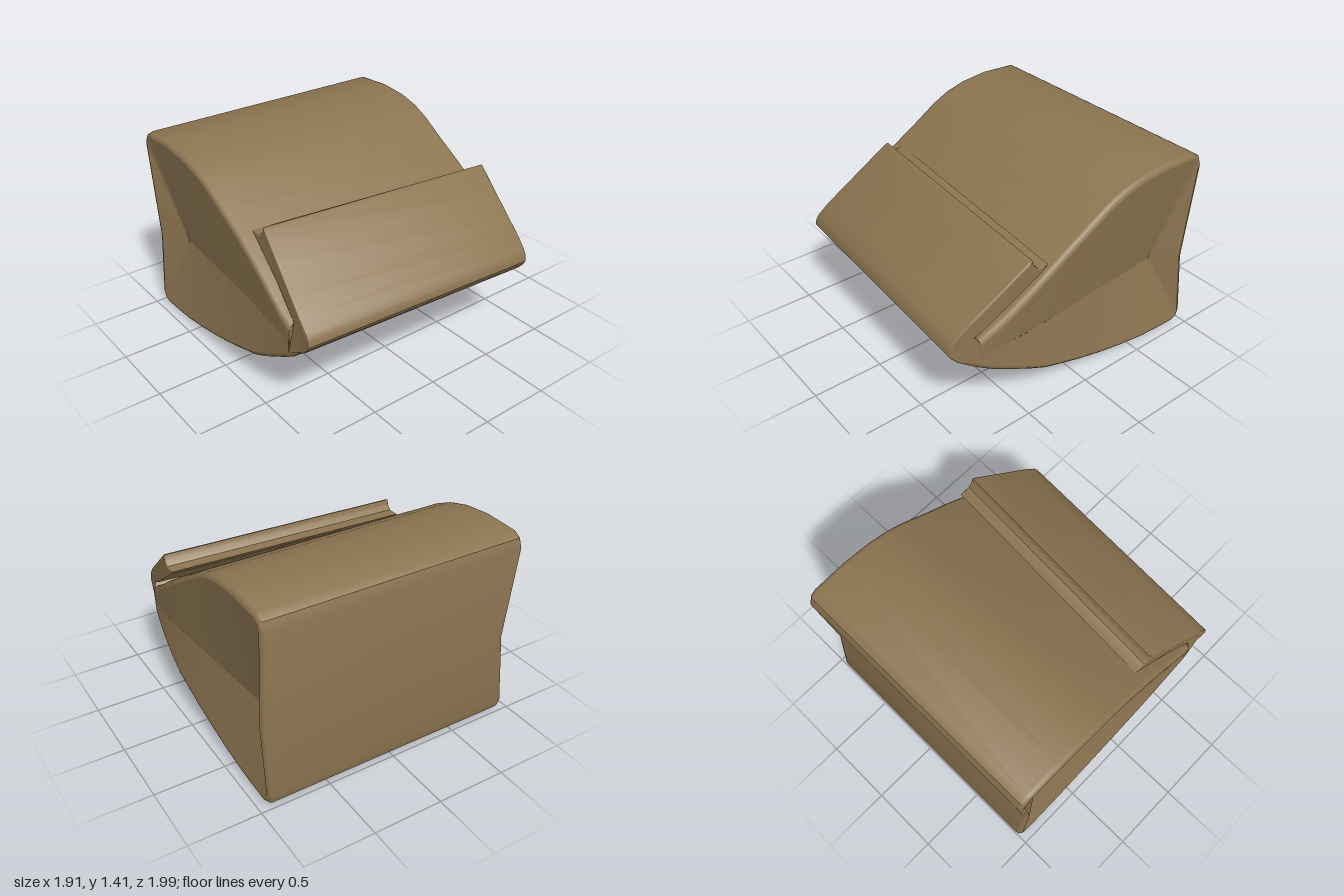
import * as THREE from 'three';
import { toCreasedNormals } from 'three/addons/utils/BufferGeometryUtils.js';

// Side outline as [z, y], counter-clockwise from the middle of the back panel
const lower = [[-0.94, 0.6], [-1, 0.1], [-0.98, 0.035], [-0.92, 0.005], [-0.75, 0.01], [-0.6, 0.02], [-0.4, 0.05],
  [-0.2, 0.09], [0, 0.14], [0.15, 0.185], [0.3, 0.23], [0.45, 0.295], [0.6, 0.365], [0.72, 0.42], [0.8, 0.465]];
const flap = [[0.88, 0.515], [0.94, 0.56], [0.98, 0.605], [1, 0.64], [0.995, 0.68], [0.97, 0.72], [0.9, 0.785],
  [0.8, 0.86], [0.62, 0.995], [0.455, 1.12], [0.43, 1.13], [0.42, 1.09], [0.39, 1.06], [0.345, 1.055],
  [0.31, 1.055], [0.335, 1.025], [0.6, 0.85], [0.78, 0.725], [0.82, 0.705]];
const upper = [[0.8, 0.685], [0.7, 0.74], [0.6, 0.805], [0.4, 0.94], [0.2, 1.07], [0, 1.19], [-0.17, 1.295],
  [-0.3, 1.355], [-0.45, 1.395], [-0.66, 1.417], [-0.92, 1.405], [-0.975, 1.37], [-1, 1.3]];
const profile = [...lower, ...flap, ...upper];
const N = profile.length, F0 = lower.length, F1 = F0 + flap.length;
const isFlap = (i) => i >= F0 && i < F1;

const { clamp, smoothstep } = THREE.MathUtils;

// Outward direction at each outline point
const normals = profile.map((p, i) => {
  const a = profile[(i + N - 1) % N], b = profile[(i + 1) % N];
  const dz = b[0] - a[0], dy = b[1] - a[1], l = Math.hypot(dz, dy);
  return [dy / l, -dz / l];
});

// Places an outline coordinate on the left (+1) or right (-1) end, with the skewed front and flap
function place(z, y, side, inFlap, dx) {
  const s = clamp((1 - z) / 0.57, 0, 1.2);
  let x;
  if (inFlap) x = side > 0 ? 0.825 + 0.095 * Math.min(s, 1) : -0.94 + 0.1 * Math.min(s, 1);
  else {
    const bulge = 0.012 * smoothstep(y, 0.6, 1.35) * smoothstep(-z, -0.1, 0.5);
    const taper = 0.11 * Math.max(0, (z - 0.2) / 0.8) ** 2;
    x = side > 0 ? 0.942 + bulge - taper : -0.942 - bulge;
  }
  x -= side * dx;
  const t = clamp((0.94 - x) / 1.86, 0, 1);
  const shift = inFlap ? 0.1 + 0.028 * s : 0.1 * smoothstep(z, 0.2, 1);
  return [x, y + (inFlap ? 0.027 * t * s : 0), z - shift * t];
}

// One ring of the rounded edge: "a" runs from 0 (full outline) to 1 (end face)
function ring(side, a) {
  return profile.map(([z, y], i) => {
    const r = isFlap(i) ? 0.01 : 0.035;
    const inset = r * (1 - Math.cos(a * Math.PI / 2)), dx = r * (1 - Math.sin(a * Math.PI / 2));
    return place(z - normals[i][0] * inset, y - normals[i][1] * inset, side, isFlap(i), dx);
  });
}

function geometry(tris, crease) {
  const g = new THREE.BufferGeometry();
  g.setAttribute('position', new THREE.Float32BufferAttribute(tris.flat(2), 3));
  return toCreasedNormals(g, crease);
}

export function createModel() {
  const group = new THREE.Group();
  const fabric = new THREE.MeshStandardMaterial({ color: 0x8b7450, side: THREE.DoubleSide });
  fabric.name = 'tan fabric';
  const add = (name, tris, crease) => {
    const mesh = new THREE.Mesh(geometry(tris, crease), fabric);
    mesh.name = name;
    group.add(mesh);
  };

  // Wrapped cover: bottom, rounded nose, folded-back flap, top and back in one loft
  const steps = [0, 0.35, 0.7, 1];
  const rings = [...steps.slice().reverse().map((a) => ring(-1, a)), ...steps.map((a) => ring(1, a))];
  const shell = [];
  for (let k = 0; k < rings.length - 1; k++) {
    for (let i = 0; i < N; i++) {
      const j = (i + 1) % N, A = rings[k], B = rings[k + 1];
      shell.push([A[i], B[i], A[j]], [B[i], B[j], A[j]]);
    }
  }
  add('wrappedCover', shell, 0.6);

  for (const side of [1, -1]) {
    const edge = side > 0 ? rings[rings.length - 1] : rings[0];
    const label = side > 0 ? 'left' : 'right';
    const face = (a, b, c) => (side > 0 ? [a, c, b] : [a, b, c]);

    // Side gusset folded inward along a level crease
    const fold = (i) => {
      const z = clamp(profile[i][0], -0.72, 0.8);
      return place(z, 0.6 - 0.02 * smoothstep(z, 0.2, 0.8), side, false, 0.12 * (0.8 - z) / 1.52);
    };
    const gusset = [];
    const strip = (i, j) => {
      const c = fold(i), d = fold(j);
      gusset.push(face(edge[i], edge[j], c));
      if (c[2] !== d[2]) gusset.push(face(edge[j], d, c));
    };
    for (let i = 0; i < F0 - 1; i++) strip(i, i + 1);
    for (let i = F1; i < N; i++) strip(i, (i + 1) % N);
    add(label + 'Gusset', gusset, 0.12);

    // End of the nose and flap
    const ids = [];
    for (let i = F0 - 1; i <= F1; i++) ids.push(i);
    const outline = ids.map((i) => new THREE.Vector2(edge[i][2], edge[i][1]));
    const cap = THREE.ShapeUtils.triangulateShape(outline, []).map(([a, b, c]) => {
      const ccw = THREE.ShapeUtils.area([outline[a], outline[b], outline[c]]) > 0;
      const [p, q, r] = [a, b, c].map((n) => edge[ids[n]]);
      return ccw ? face(p, q, r) : face(p, r, q);
    });
    add(label + 'FlapEnd', cap, 0.3);
  }
  return group;
}
